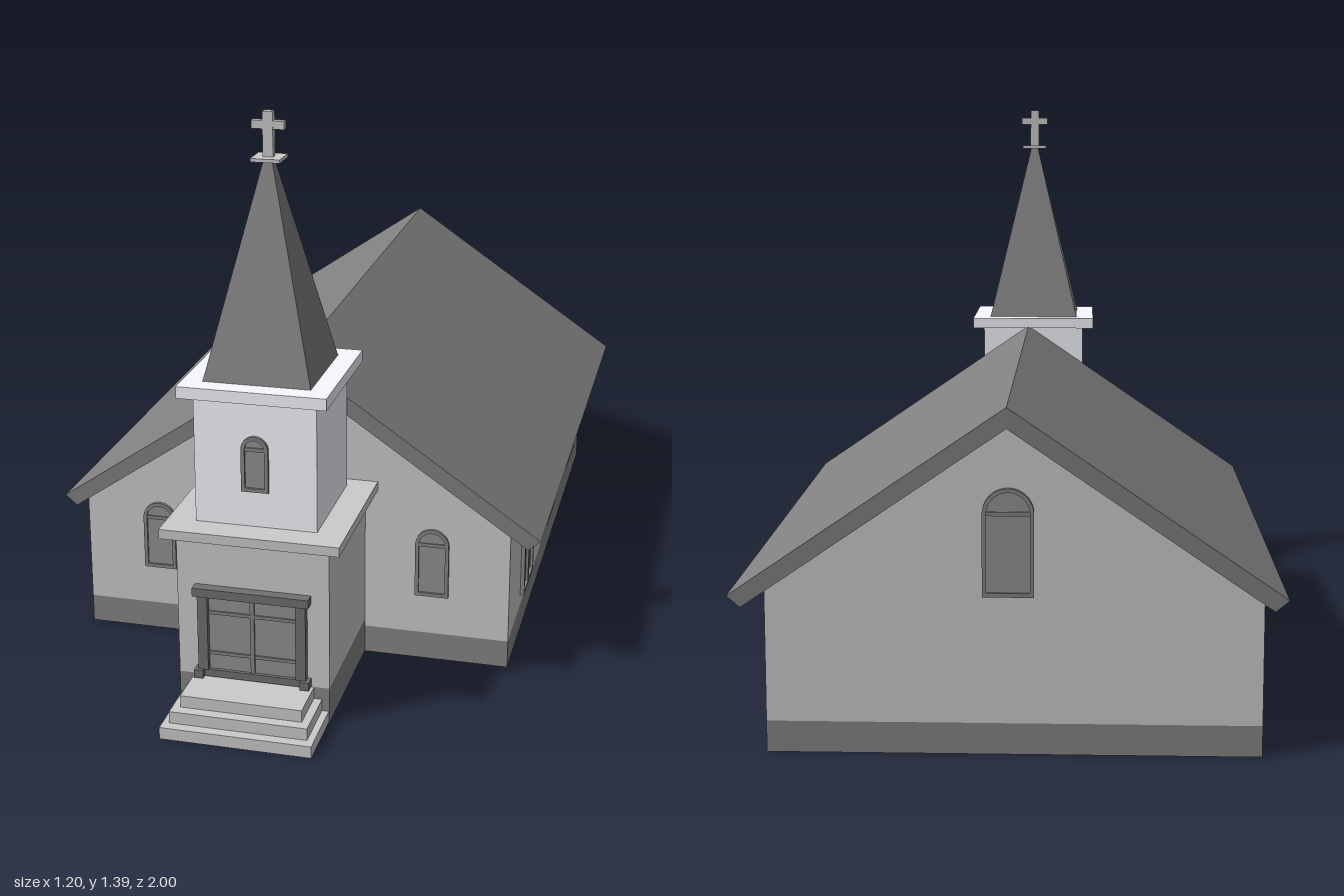
import * as THREE from 'three';

const mat = (color) => new THREE.MeshStandardMaterial({ color });
const wallMat = mat(0xcccccc);
const roofMat = mat(0x808080);
const baseMat = mat(0x858585);
const belfryMat = mat(0xf8faff);
const frameMat = mat(0x707070);
const glassMat = mat(0x929292);

const CX = -0.014;   // shared centre line of walls and tower
const TZ = 0.658;    // tower centre in z
const LEFT = 0.526, RIGHT = -0.553, FRONT = 0.479, BACK = -0.966;
const SLOPE = 0.69;

function add(parent, name, geometry, material) {
  const mesh = new THREE.Mesh(geometry, material);
  mesh.name = name;
  parent.add(mesh);
  return mesh;
}

// Box given by its limits on each axis
function box(parent, name, material, x0, x1, y0, y1, z0, z1) {
  const m = add(parent, name, new THREE.BoxGeometry(x1 - x0, y1 - y0, z1 - z0), material);
  m.position.set((x0 + x1) / 2, (y0 + y1) / 2, (z0 + z1) / 2);
  return m;
}

// Square slab centred on the tower axis
const slab = (parent, name, material, half, y0, y1) =>
  box(parent, name, material, CX - half, CX + half, y0, y1, TZ - half, TZ + half);

const polygon = (pts) => new THREE.Shape(pts.map(([x, y]) => new THREE.Vector2(x, y)));
const rectangle = (x0, x1, y0, y1) => polygon([[x0, y0], [x1, y0], [x1, y1], [x0, y1]]);
const extrude = (shape, depth) =>
  new THREE.ExtrudeGeometry(shape, { depth, bevelEnabled: false, curveSegments: 10 });

// Window outline standing on y = 0, optionally with a round head
function outline(w, h, arched, inset = 0) {
  const r = w / 2 - inset, top = arched ? h - w / 2 : h - inset;
  const s = new THREE.Shape();
  s.moveTo(-r, inset);
  s.lineTo(r, inset);
  s.lineTo(r, top);
  if (arched) s.absarc(0, top, r, 0, Math.PI, false);
  else s.lineTo(-r, top);
  s.closePath();
  return s;
}

// Framed window facing +z: square ones have a mullion, all have a crossbar
function windowUnit(parent, name, w, h, arched, depth, x, y, z, turn = 0) {
  const g = new THREE.Group();
  g.name = name;
  const t = 0.009;
  const ring = outline(w, h, arched);
  ring.holes.push(outline(w, h, arched, t));
  add(g, 'windowFrame', extrude(ring, depth), baseMat);
  add(g, 'windowGlass', extrude(outline(w, h, arched, t), depth * 0.3), glassMat);
  const bar = arched ? h - w / 2 : h * 0.81;
  box(g, 'crossbar', baseMat, t - w / 2, w / 2 - t, bar - t / 2, bar + t / 2, 0, depth * 0.7);
  if (!arched) box(g, 'mullion', baseMat, -t, t, t, h - t, 0, depth * 0.9);
  g.position.set(x, y, z);
  g.rotation.y = turn;
  parent.add(g);
}

function buildHall(root) {
  const hall = new THREE.Group();
  hall.name = 'hall';
  root.add(hall);

  // Foundation slab with a rectangular opening in the floor, walled above
  const opening = [-0.193, 0.167, -0.115, 0.613];
  const floorPart = (name, shape, height, material) => {
    shape.holes.push(rectangle(...opening));
    const m = add(hall, name, extrude(shape, height), material);
    m.rotation.x = -Math.PI / 2;
    return m;
  };
  floorPart('foundation', rectangle(RIGHT, LEFT, -FRONT, -BACK), 0.07, baseMat);
  floorPart('innerWalls', rectangle(-0.203, 0.177, -0.125, 0.623), 0.53, wallMat).position.y = 0.07;

  // Gable walls and side walls
  const under = (x) => 0.732 - SLOPE * Math.abs(x);
  const gable = polygon([[RIGHT, 0.07], [LEFT, 0.07], [LEFT, under(LEFT)], [0, under(0)], [RIGHT, under(RIGHT)]]);
  add(hall, 'frontWall', extrude(gable, 0.02), wallMat).position.z = FRONT - 0.02;
  add(hall, 'backWall', extrude(gable, 0.02), wallMat).position.z = BACK;
  box(hall, 'leftWall', wallMat, LEFT - 0.02, LEFT, 0.07, under(LEFT), BACK + 0.02, FRONT - 0.02);
  box(hall, 'rightWall', wallMat, RIGHT, RIGHT + 0.02, 0.07, under(RIGHT), BACK + 0.02, FRONT - 0.02);

  // Pitched roof with square-cut eaves
  const roof = polygon([[-0.602, 0.358], [-0.572, 0.333], [0, 0.724], [0.572, 0.333], [0.602, 0.358], [0, 0.77]]);
  add(hall, 'roof', extrude(roof, 1.51), roofMat).position.z = -1;

  // Windows
  for (const z of [0.198, -0.249, -0.689]) {
    windowUnit(hall, 'leftWindow', 0.164, 0.21, false, 0.01, LEFT, 0.1, z, Math.PI / 2);
    windowUnit(hall, 'rightWindow', 0.164, 0.21, false, 0.01, RIGHT, 0.1, z, -Math.PI / 2);
  }
  for (const x of [-0.363, 0.335])
    windowUnit(hall, 'frontWindow', 0.083, 0.177, true, 0.008, x, 0.172, FRONT);
  windowUnit(hall, 'backWindow', 0.112, 0.238, true, 0.01, -0.002, 0.353, BACK, Math.PI);
}

function buildTower(root) {
  const tower = new THREE.Group();
  tower.name = 'tower';
  root.add(tower);
  const face = TZ + 0.181;

  // Porch block, belfry and cornices
  box(tower, 'porchFoundation', baseMat, CX - 0.181, CX + 0.181, 0, 0.088, FRONT, face);
  slab(tower, 'porch', wallMat, 0.181, 0.088, 0.437);
  slab(tower, 'lowerCornice', wallMat, 0.212, 0.437, 0.46);
  slab(tower, 'belfry', belfryMat, 0.144, 0.46, 0.767);
  slab(tower, 'upperCornice', belfryMat, 0.174, 0.767, 0.795);
  windowUnit(tower, 'belfryWindow', 0.064, 0.134, true, 0.008, CX, 0.547, TZ + 0.144);

  // Spire
  const d = Math.SQRT2;
  const spireGeo = new THREE.CylinderGeometry(0.01 * d, 0.126 * d, 0.49, 4).toNonIndexed();
  spireGeo.rotateY(Math.PI / 4);
  spireGeo.computeVertexNormals();
  add(tower, 'spire', spireGeo, roofMat).position.set(CX, 1.04, TZ);

  // Cross on its plate
  slab(tower, 'crossPlate', wallMat, 0.034, 1.284, 1.292);
  box(tower, 'crossPost', wallMat, CX - 0.012, CX + 0.012, 1.292, 1.394, TZ - 0.009, TZ + 0.009);
  box(tower, 'crossArm', wallMat, CX - 0.038, CX + 0.038, 1.354, 1.373, TZ - 0.008, TZ + 0.008);

  // Entrance: glazed doors between posts, under a lintel
  const door = new THREE.Group();
  door.name = 'entrance';
  door.position.set(CX, 0, face);
  tower.add(door);
  box(door, 'doorGlass', glassMat, -0.12, 0.12, 0.09, 0.305, 0, 0.004);
  box(door, 'lintel', frameMat, -0.138, 0.138, 0.298, 0.319, 0, 0.026);
  box(door, 'sill', frameMat, -0.118, 0.118, 0.09, 0.108, 0, 0.012);
  for (const s of [-1, 1]) {
    box(door, 'doorPost', frameMat, s * 0.117 - 0.012, s * 0.117 + 0.012, 0.11, 0.298, 0, 0.018);
    box(door, 'postFoot', frameMat, s * 0.127 - 0.011, s * 0.127 + 0.011, 0.09, 0.11, 0, 0.026);
  }
  box(door, 'doorMullion', baseMat, -0.005, 0.005, 0.108, 0.298, 0, 0.009);
  for (const y of [0.15, 0.253])
    box(door, 'doorBar', baseMat, -0.105, 0.105, y - 0.004, y + 0.004, 0, 0.008);

  // Front steps
  [[0.179, 1], [0.163, 0.975], [0.144, 0.949]].forEach(([half, z], i) =>
    box(tower, 'step', wallMat, CX - half, CX + half, i * 0.029, (i + 1) * 0.029, face, z));
}

export function createModel() {
  const root = new THREE.Group();
  root.name = 'church';
  buildHall(root);
  buildTower(root);
  return root;
}
